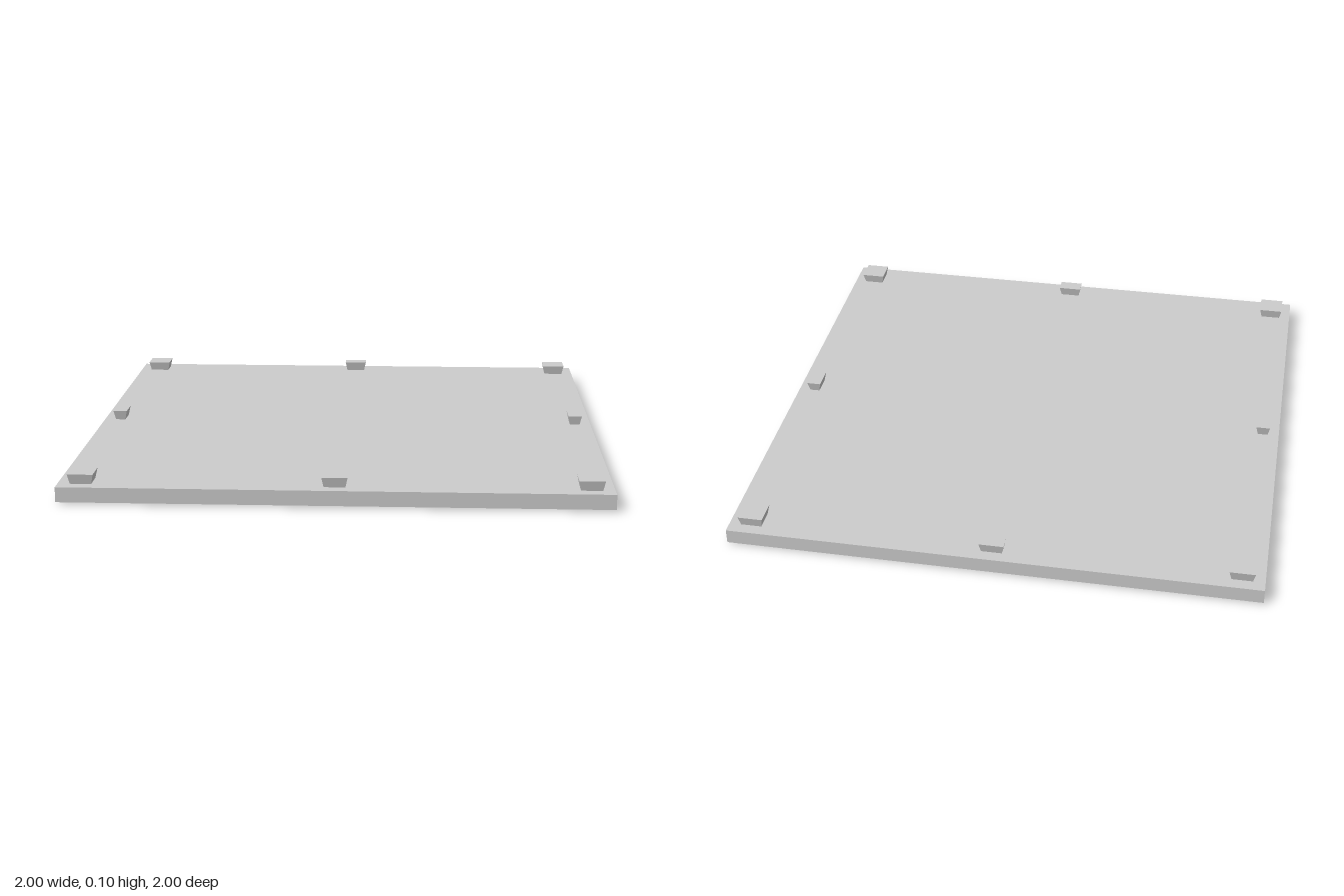
import * as THREE from 'three';

const material = new THREE.MeshStandardMaterial({ color: 0xcccccc, flatShading: true });

// Box from y0 to y1 whose bottom face is drawn in by `inset` on every side
function taperedBox(name, width, depth, y0, y1, inset) {
  const geometry = new THREE.BoxGeometry(width, y1 - y0, depth);
  geometry.translate(0, (y0 + y1) / 2, 0);
  const p = geometry.attributes.position;
  for (let i = 0; i < p.count; i++) {
    if (p.getY(i) < (y0 + y1) / 2) {
      p.setX(i, p.getX(i) - Math.sign(p.getX(i)) * inset);
      p.setZ(i, p.getZ(i) - Math.sign(p.getZ(i)) * inset);
    }
  }
  geometry.computeVertexNormals();
  const mesh = new THREE.Mesh(geometry, material);
  mesh.name = name;
  return mesh;
}

export function createModel() {
  const model = new THREE.Group();
  model.name = 'studdedTile';

  // Square slab on a shallow, slightly inset underside
  const top = 0.063, rim = 0.007;
  model.add(taperedBox('slab', 2, 2, rim, top, 0));
  model.add(taperedBox('underside', 2, 2, 0, rim, 0.025));

  // Studs around the border: square at corners, narrow at the middle of each edge
  const size = 0.094, narrow = 0.055, outer = 0.963, height = 0.1;
  for (const x of [-1, 0, 1]) {
    for (const z of [-1, 0, 1]) {
      if (x === 0 && z === 0) continue;
      const corner = x !== 0 && z !== 0;
      const w = corner || x === 0 ? size : narrow;
      const d = corner || z === 0 ? size : narrow;
      const stud = taperedBox(corner ? 'cornerStud' : 'edgeStud', w, d, top, height, 0.008);
      stud.position.set(x * (outer - w / 2), 0, z * (outer - d / 2));
      model.add(stud);
    }
  }
  return model;
}
